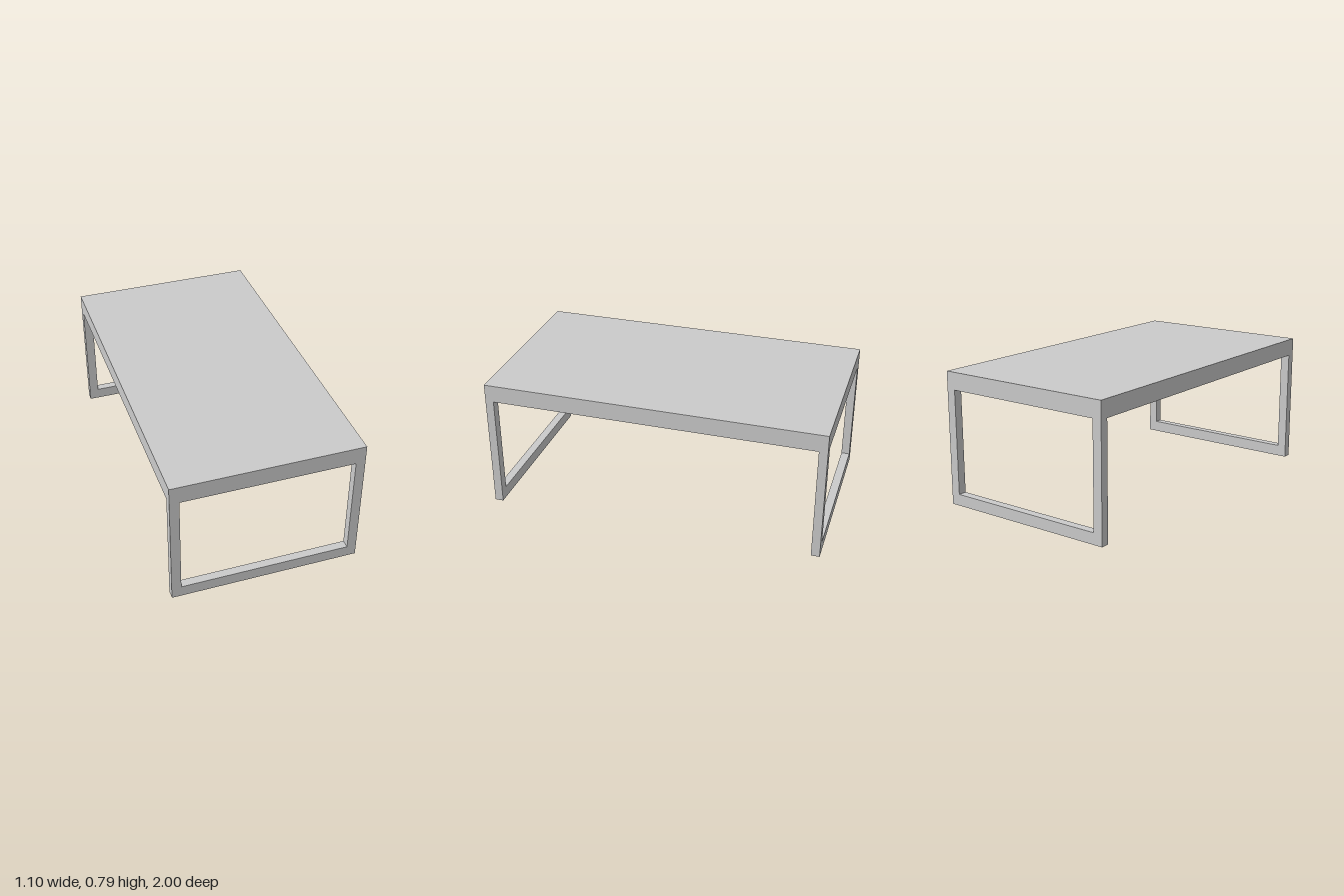
import * as THREE from 'three';

const WIDTH = 1.1, LENGTH = 2, HEIGHT = 0.788;
const TOP = 0.035;                // tabletop thickness
const BAR_H = 0.068;              // height of horizontal bars
const BAR_W = 0.055;              // width of legs and side rails (x)
const BAR_D = 0.05;               // depth of the end frames (z)
const FRAME_H = HEIGHT - TOP;

const material = new THREE.MeshStandardMaterial({ color: 0xcccccc, flatShading: true });

function addMesh(parent, name, geometry, x, y, z) {
  const mesh = new THREE.Mesh(geometry, material);
  mesh.name = name;
  mesh.position.set(x, y, z);
  parent.add(mesh);
}

// Rectangular loop: two legs joined by a top bar and a floor bar
function endFrameGeometry() {
  const rect = (path, x, y0, y1) => {
    path.moveTo(-x, y0);
    path.lineTo(x, y0);
    path.lineTo(x, y1);
    path.lineTo(-x, y1);
    path.closePath();
    return path;
  };
  const shape = rect(new THREE.Shape(), WIDTH / 2, 0, FRAME_H);
  shape.holes.push(rect(new THREE.Path(), WIDTH / 2 - BAR_W, BAR_H, FRAME_H - BAR_H));
  return new THREE.ExtrudeGeometry(shape, { depth: BAR_D, bevelEnabled: false });
}

export function createModel() {
  const table = new THREE.Group();
  table.name = 'table';

  addMesh(table, 'tabletop', new THREE.BoxGeometry(WIDTH, TOP, LENGTH), 0, HEIGHT - TOP / 2, 0);

  // Leg frames at both ends
  const frame = endFrameGeometry();
  addMesh(table, 'frontLegFrame', frame, 0, 0, LENGTH / 2 - BAR_D);
  addMesh(table, 'backLegFrame', frame, 0, 0, -LENGTH / 2);

  // Long rails under the tabletop, between the leg frames
  const rail = new THREE.BoxGeometry(BAR_W, BAR_H, LENGTH - 2 * BAR_D);
  for (const [name, side] of [['leftRail', 1], ['rightRail', -1]]) {
    addMesh(table, name, rail, side * (WIDTH - BAR_W) / 2, FRAME_H - BAR_H / 2, 0);
  }

  return table;
}
